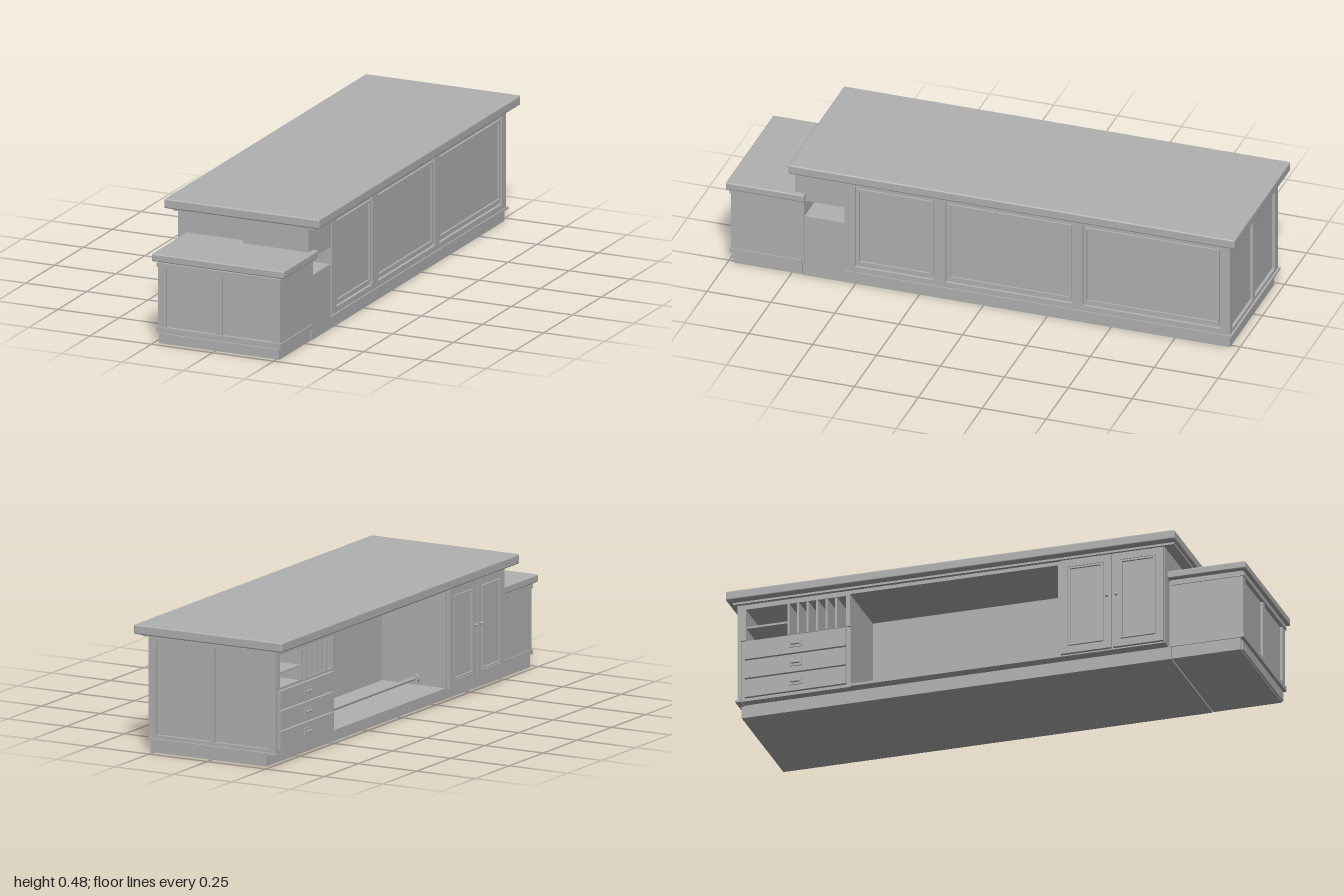
import * as THREE from 'three';
import { RoundedBoxGeometry } from 'three/addons/geometries/RoundedBoxGeometry.js';

const paint = new THREE.MeshStandardMaterial({ color: 0xb0b0b0 });
paint.name = 'grey paint';

export function createModel() {
  const root = new THREE.Group();
  root.name = 'counter';

  const add = (name, geo, x, y, z, parent = root) => {
    const m = new THREE.Mesh(geo, paint);
    m.name = name;
    m.position.set(x, y, z);
    parent.add(m);
    return m;
  };
  // Box given by its limits; r > 0 rounds the edges
  const box = (name, x0, x1, y0, y1, z0, z1, r = 0, parent = root) => {
    const s = [x1 - x0, y1 - y0, z1 - z0];
    const geo = r ? new RoundedBoxGeometry(...s, 2, r) : new THREE.BoxGeometry(...s);
    return add(name, geo, (x0 + x1) / 2, (y0 + y1) / 2, (z0 + z1) / 2, parent);
  };
  // Rectangular border lying in XY and standing out along +z
  const border = (name, w, h, t, d, parent) => {
    box(name, -w / 2, w / 2, h / 2 - t, h / 2, 0, d, 0, parent);
    box(name, -w / 2, w / 2, -h / 2, -h / 2 + t, 0, d, 0, parent);
    for (const s of [-1, 1]) {
      const c = s * (w / 2 - t / 2);
      box(name, c - t / 2, c + t / 2, -h / 2 + t, h / 2 - t, 0, d, 0, parent);
    }
  };
  const facing = (name, x, y, z, angle) => {
    const g = new THREE.Group();
    g.name = name;
    g.position.set(x, y, z);
    g.rotation.y = angle;
    root.add(g);
    return g;
  };

  // Worktops and plinths
  box('mainTop', -0.318, 0.316, 0.447, 0.484, -1, 0.747, 0.006);
  box('topMoulding', -0.287, 0.29, 0.439, 0.448, -0.98, 0.735);
  box('lowTop', -0.25, 0.29, 0.321, 0.35, 0.695, 1, 0.005);
  box('mainPlinth', -0.23, 0.265, 0, 0.052, -0.965, 0.705);
  box('lowPlinth', -0.23, 0.262, 0, 0.05, 0.71, 0.975);
  box('lowPlinthFace', -0.218, 0.262, 0.004, 0.04, 0.975, 0.982);

  // Main carcass
  box('bayFloor', -0.272, 0, 0.05, 0.06, -0.53, 0.28);
  box('bayCeiling', -0.272, 0, 0.425, 0.44, -0.53, 0.28);
  box('bayBackBody', 0, 0.26, 0.05, 0.44, -0.53, 0.28);
  box('doorCabinet', -0.272, 0.26, 0.05, 0.44, 0.28, 0.54);
  box('doorCabinetFront', -0.272, 0, 0.05, 0.44, 0.54, 0.695);
  box('nicheBase', 0, 0.265, 0.05, 0.25, 0.54, 0.7);
  box('nicheHead', 0, 0.268, 0.318, 0.44, 0.54, 0.735);

  // Drawer cabinet with open pigeonholes above
  box('drawerCabinet', -0.265, 0.26, 0.05, 0.295, -0.955, -0.53);
  box('pigeonholeBack', -0.1, 0.26, 0.295, 0.44, -0.955, -0.53);
  box('pigeonholeHead', -0.272, -0.1, 0.42, 0.44, -0.955, -0.53);
  box('pigeonholeSide', -0.272, -0.1, 0.295, 0.42, -0.955, -0.935);
  box('pigeonholeSide', -0.272, -0.1, 0.295, 0.42, -0.545, -0.53);
  box('pigeonholeShelf', -0.265, -0.1, 0.345, 0.353, -0.935, -0.77);
  for (let i = 0; i < 6; i++) {
    const z = -0.77 + i * 0.037;
    box('pigeonholeDivider', -0.27, -0.1, 0.295, 0.42, z - 0.004, z + 0.004);
  }
  for (let i = 0; i < 3; i++) {
    const y = 0.062 + i * 0.077;
    box('drawerFront', -0.277, -0.265, y, y + 0.069, -0.94, -0.545);
    box('drawerPullPlate', -0.281, -0.277, y + 0.022, y + 0.05, -0.765, -0.715);
    box('drawerPull', -0.289, -0.281, y + 0.03, y + 0.04, -0.758, -0.722, 0.003);
  }

  // Cabinet doors with moulded panels and knobs
  for (const [z0, z1, knobZ] of [[0.293, 0.49, 0.475], [0.496, 0.693, 0.511]]) {
    box('door', -0.28, -0.272, 0.055, 0.435, z0, z1);
    const g = facing('doorFrame', -0.28, 0.245, (z0 + z1) / 2, -Math.PI / 2);
    border('doorRail', z1 - z0, 0.38, 0.028, 0.005, g);
    border('doorMoulding', z1 - z0 - 0.062, 0.318, 0.007, 0.008, g);
    const stem = add('knobStem', new THREE.CylinderGeometry(0.003, 0.003, 0.012, 10), -0.288, 0.265, knobZ);
    stem.rotation.z = Math.PI / 2;
    add('knob', new THREE.SphereGeometry(0.006, 14, 10), -0.293, 0.265, knobZ);
  }

  // Rail across the open bay
  const rail = add('footRail', new THREE.CylinderGeometry(0.007, 0.007, 0.81, 16), -0.145, 0.085, -0.125);
  rail.rotation.x = Math.PI / 2;
  for (const z of [-0.525, 0.275]) {
    const f = add('railFlange', new THREE.CylinderGeometry(0.018, 0.018, 0.012, 20), -0.145, 0.085, z);
    f.rotation.x = Math.PI / 2;
  }

  // Panelled long side
  box('sideBottomRail', 0.26, 0.272, 0.05, 0.075, -0.967, 0.54);
  box('sideTopRail', 0.26, 0.272, 0.418, 0.44, -0.967, 0.54);
  for (const [z0, z1] of [[0.5, 0.54], [0.145, 0.19], [-0.39, -0.35], [-0.967, -0.93]])
    box('sideStile', 0.26, 0.272, 0.075, 0.418, z0, z1);
  for (const [z0, z1] of [[0.19, 0.5], [-0.35, 0.145], [-0.93, -0.39]]) {
    const g = facing('sidePanel', 0.26, 0.2465, (z0 + z1) / 2, Math.PI / 2);
    border('panelMoulding', z1 - z0 - 0.012, 0.315, 0.009, 0.008, g);
  }
  box('sideSkirtMoulding', 0.26, 0.277, 0.046, 0.054, -0.975, 0.54);

  // Two-panel end frames: stiles and rails over a flat panel
  const endFrame = (name, x0, x1, y0, y1, z0, z1) => {
    const mid = (x0 + x1) / 2;
    box(name + 'BottomRail', x0, x1, y0, y0 + 0.017, z0, z1);
    box(name + 'TopRail', x0, x1, y1 - 0.017, y1, z0, z1);
    for (const [a, b] of [[x0, x0 + 0.032], [mid - 0.011, mid + 0.011], [x1 - 0.032, x1]])
      box(name + 'Stile', a, b, y0 + 0.017, y1 - 0.017, z0, z1);
  };
  endFrame('backEnd', -0.272, 0.272, 0.05, 0.44, -0.967, -0.955);
  box('backSkirtMoulding', -0.277, 0.277, 0.046, 0.054, -0.975, -0.955);

  // Low front cabinet
  box('lowCabinet', -0.23, 0.27, 0.05, 0.315, 0.7, 0.975);
  endFrame('lowFront', -0.23, 0.27, 0.05, 0.315, 0.975, 0.985);
  box('lowTopMoulding', -0.234, 0.274, 0.298, 0.315, 0.71, 0.99);
  box('lowBottomMoulding', -0.234, 0.274, 0.048, 0.066, 0.71, 0.99);
  box('lowNeck', -0.228, 0.268, 0.315, 0.322, 0.7, 0.98);
  return root;
}
